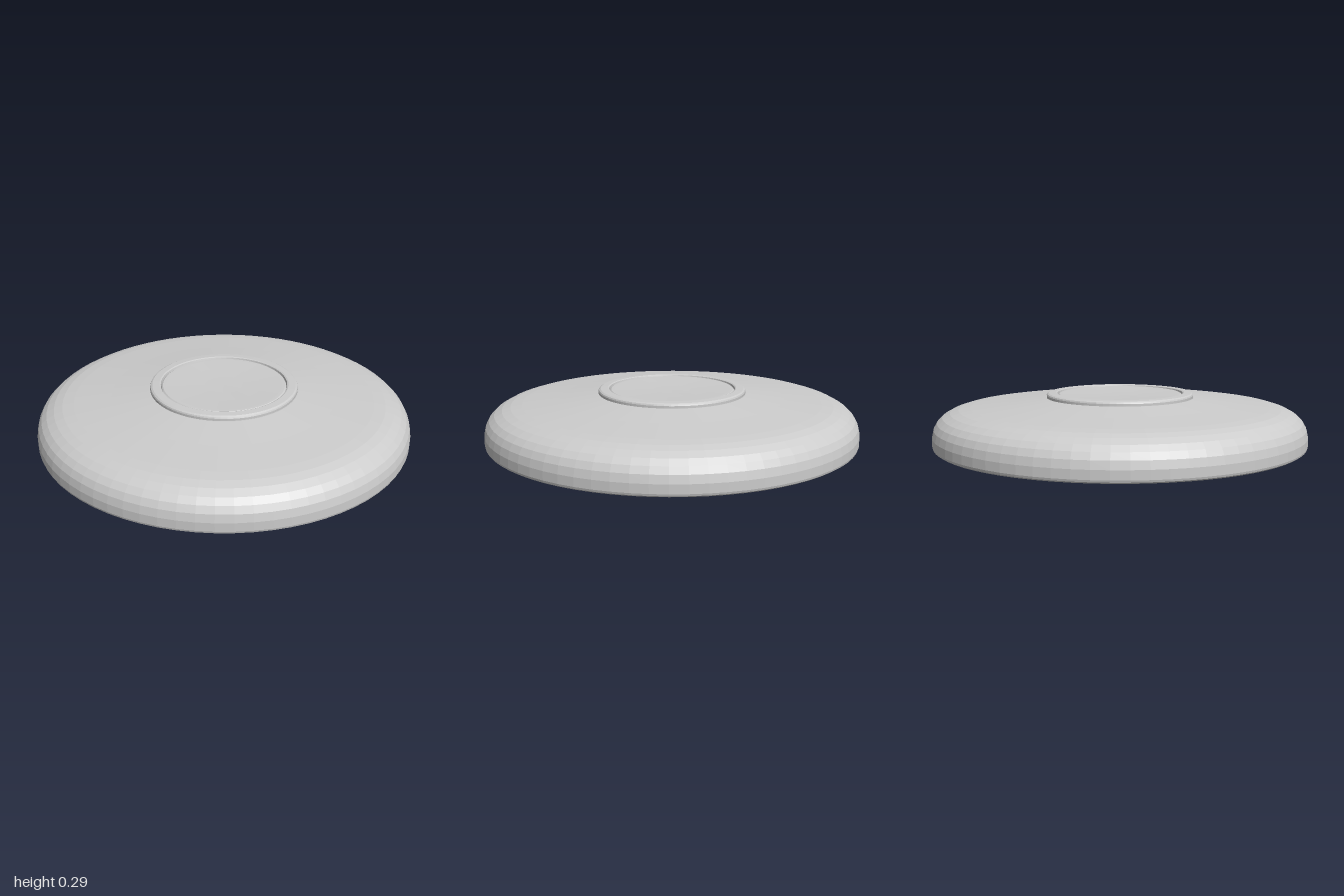
import * as THREE from 'three';

const SEGMENTS = 72;

// Revolves a profile of [radius, height] points, listed from bottom to top
function turned(name, profile) {
  const points = profile.map(([r, y]) => new THREE.Vector2(r, y));
  const material = new THREE.MeshStandardMaterial({ color: 0xcccccc, flatShading: true });
  const mesh = new THREE.Mesh(new THREE.LatheGeometry(points, SEGMENTS), material);
  mesh.name = name;
  return mesh;
}

export function createModel() {
  const model = new THREE.Group();
  model.name = 'roundPuck';

  // Flat base plate with a slightly bevelled edge
  model.add(turned('basePlate', [
    [0, 0], [0.64, 0.002], [0.96, 0.008], [0.985, 0.012], [0.995, 0.02], [0.9, 0.02],
  ]));

  // Rounded shell rising gently to the centre
  model.add(turned('shell', [
    [0.96, 0.018], [0.997, 0.02], [1, 0.03], [1, 0.075], [0.991, 0.115], [0.973, 0.148],
    [0.945, 0.175], [0.905, 0.197], [0.86, 0.211], [0.8, 0.22],
    [0.6, 0.241], [0.4, 0.264], [0.36, 0.264],
  ]));

  // Raised ring around the button
  model.add(turned('buttonRing', [
    [0.395, 0.255], [0.395, 0.276], [0.392, 0.283], [0.383, 0.288],
    [0.345, 0.29], [0.338, 0.287], [0.334, 0.272],
  ]));

  // Shallow dished button
  model.add(turned('button', [
    [0.336, 0.268], [0.333, 0.278], [0.326, 0.283], [0.31, 0.283],
    [0.2, 0.279], [0.1, 0.276], [0, 0.275],
  ]));

  return model;
}
